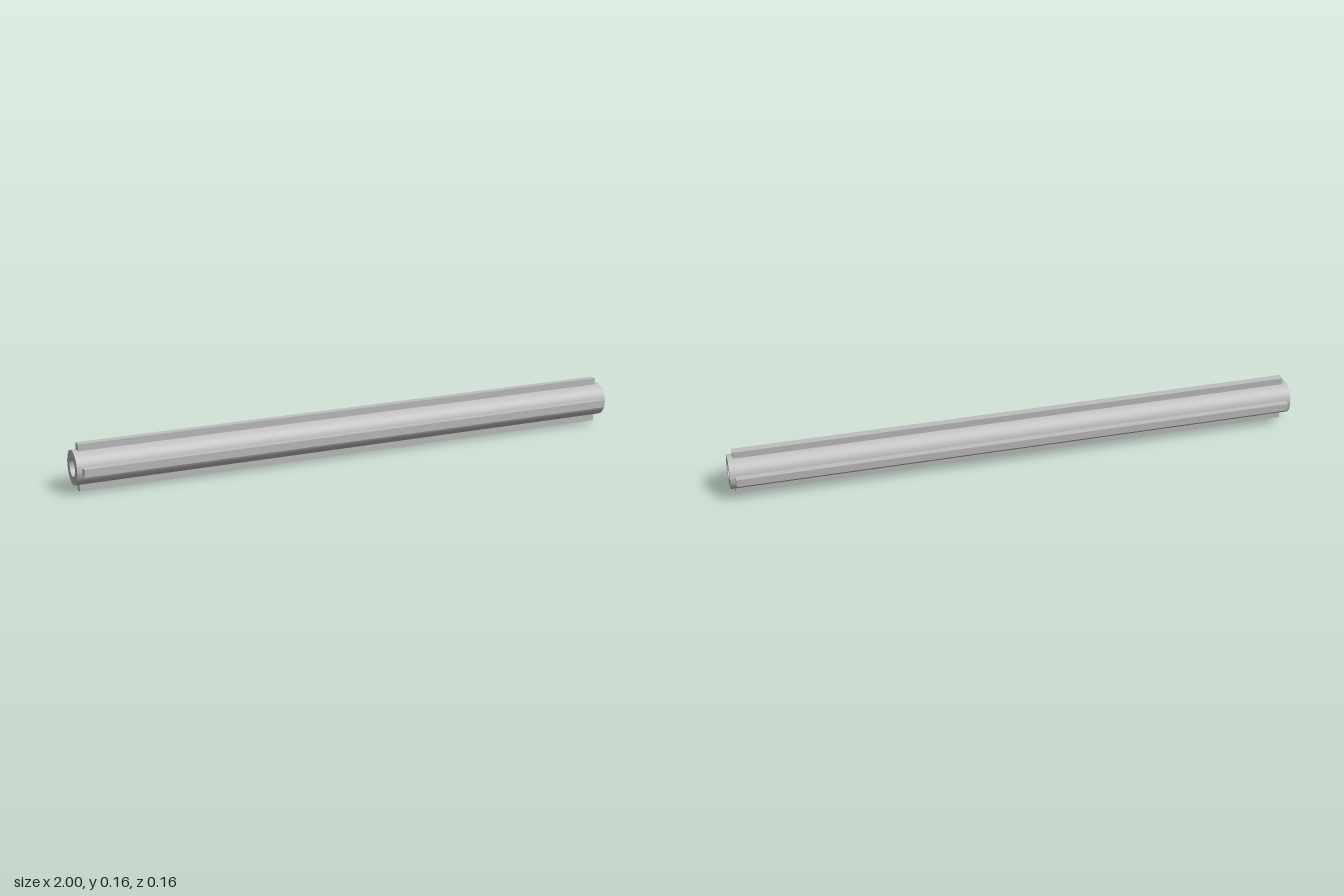
import * as THREE from 'three';

const LENGTH = 2, OUTER = 0.0587, INNER = 0.0313;
const RIB_LENGTH = 1.964, RIB_WIDTH = 0.0267, RIB_TIP = 0.0805, RIB_ROOT = 0.05;

export function createModel() {
  const grey = new THREE.MeshStandardMaterial({ color: 0xbfbfbf });
  grey.name = 'grey';

  const model = new THREE.Group();
  model.name = 'splinedShaft';

  // Hollow tube: closed ring profile, corners doubled to keep the edges sharp
  const h = LENGTH / 2;
  const profile = [
    [INNER, -h], [OUTER, -h], [OUTER, -h], [OUTER, h],
    [OUTER, h], [INNER, h], [INNER, h], [INNER, -h],
  ].map(([r, y]) => new THREE.Vector2(r, y));
  const tube = new THREE.Mesh(new THREE.LatheGeometry(profile, 64), grey);
  tube.name = 'tube';
  tube.rotation.z = -Math.PI / 2;
  tube.position.y = RIB_TIP;
  model.add(tube);

  // Four lengthwise ribs, slightly shorter than the tube and sunk into its wall
  const ribGeometry = new THREE.BoxGeometry(RIB_LENGTH, RIB_TIP - RIB_ROOT, RIB_WIDTH);
  ribGeometry.translate(0, (RIB_TIP + RIB_ROOT) / 2, 0);
  ['topRib', 'frontRib', 'bottomRib', 'backRib'].forEach((name, i) => {
    const rib = new THREE.Mesh(ribGeometry, grey);
    rib.name = name;
    rib.rotation.x = i * Math.PI / 2;
    rib.position.y = RIB_TIP;
    model.add(rib);
  });

  return model;
}
